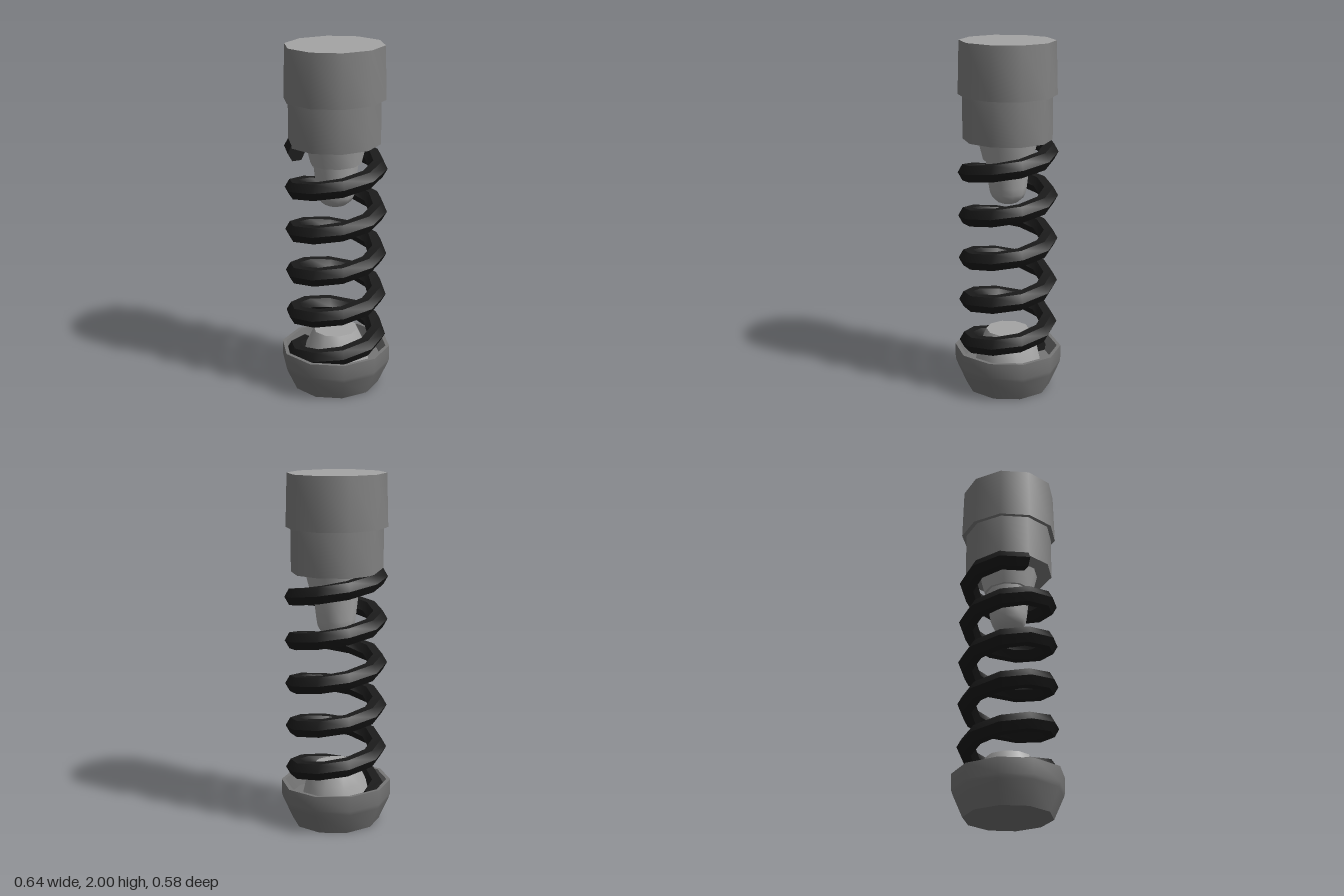
import * as THREE from 'three';
import { toCreasedNormals } from 'three/addons/utils/BufferGeometryUtils.js';

const SIDES = 10;
const CREASE = 0.9;
const DEPTH = 0.953; // sections are slightly narrower front to back
const light = new THREE.MeshStandardMaterial({ color: 0xa5a5a5 });
const dark = new THREE.MeshStandardMaterial({ color: 0x818181 });
const darker = new THREE.MeshStandardMaterial({ color: 0x777777 });
const black = new THREE.MeshStandardMaterial({ color: 0x1b1b1b });

// Ten-sided turned part from [radius, y] pairs, listed bottom to top on the outside
function turned(name, material, profile, x = 0) {
  const points = profile.map(([r, y]) => new THREE.Vector2(r, y));
  const geometry = new THREE.LatheGeometry(points, SIDES, Math.PI / 2);
  geometry.scale(1, 1, DEPTH);
  const mesh = new THREE.Mesh(toCreasedNormals(geometry, CREASE), material);
  mesh.name = name;
  mesh.position.x = x;
  return mesh;
}

// Six-sided wire swept up a ten-sided helix, levelling out at the top
function coilSpring() {
  const radius = 0.24, wire = 0.054, pitch = 0.25, n = 6;
  const first = -2, last = 50;
  const positions = [], index = [];
  for (let k = first; k <= last; k++) {
    const t = (k * Math.PI * 2) / SIDES;
    const y = Math.min(0.213 + (pitch * k) / SIDES, 1.43);
    for (let j = 0; j < n; j++) {
      const a = (j * Math.PI * 2) / n;
      const r = radius + wire * Math.cos(a);
      positions.push(-r * Math.cos(t), y + wire * Math.sin(a), r * Math.sin(t) * DEPTH);
      if (k < last) {
        const p = (k - first) * n + j, q = (k - first) * n + ((j + 1) % n);
        index.push(p, p + n, q, q, p + n, q + n);
      }
    }
  }
  // End caps
  const end = (last - first) * n;
  for (let j = 1; j < n - 1; j++) {
    index.push(0, j, j + 1);
    index.push(end, end + j + 1, end + j);
  }

  const geometry = new THREE.BufferGeometry();
  geometry.setAttribute('position', new THREE.Float32BufferAttribute(positions, 3));
  geometry.setIndex(index);
  const mesh = new THREE.Mesh(toCreasedNormals(geometry, CREASE), black);
  mesh.name = 'coilSpring';
  return mesh;
}

export function createModel() {
  const model = new THREE.Group();
  model.name = 'springDamper';

  model.add(
    // Open cup holding the lower end of the spring
    turned('springCup', darker, [
      [0, 0], [0.255, 0], [0.312, 0.125], [0.32, 0.15], [0.32, 0.237],
      [0.298, 0.237], [0.28, 0.14], [0, 0.14],
    ]),
    // Tapered stud inside the cup
    turned('lowerStud', light, [[0.2, 0.13], [0.175, 0.24], [0.13, 0.335], [0, 0.335]]),
    coilSpring(),
    // Stepped, round-nosed plunger below the body
    turned('plungerTip', light, [
      [0, 1.086], [0.035, 1.09], [0.066, 1.102], [0.09, 1.122], [0.105, 1.15],
      [0.112, 1.19], [0.132, 1.36],
    ]),
    turned('plungerCollar', light, [[0, 1.338], [0.145, 1.338], [0.18, 1.47]]),
    // Body and its wider cap with a lighter top face
    turned('upperBody', dark, [[0, 1.455], [0.262, 1.455], [0.262, 1.72]], -0.008),
    turned('upperCap', dark, [[0, 1.704], [0.288, 1.704], [0.279, 2]], -0.006),
    turned('capTop', light, [[0.279, 2], [0, 2]], -0.006),
  );
  return model;
}
